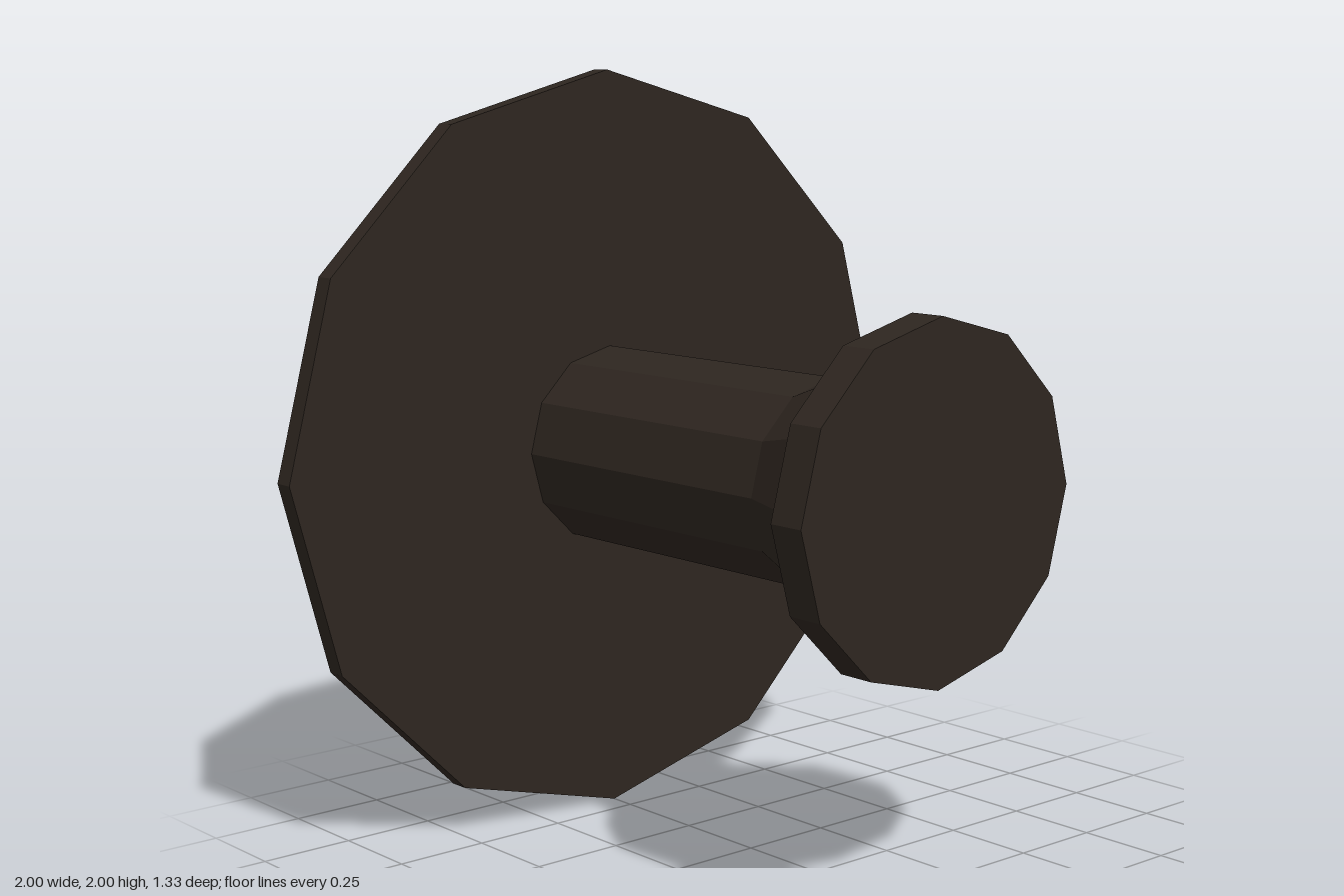
import * as THREE from 'three';

const SIDES = 12;

// Faceted turned part; profile is [radius, z] pairs, running from back to front
function turned(name, profile, color) {
  const points = profile.map(([r, z]) => new THREE.Vector2(r, z));
  const geometry = new THREE.LatheGeometry(points, SIDES);
  geometry.rotateX(Math.PI / 2);
  geometry.translate(0, 1, 0);
  const material = new THREE.MeshStandardMaterial({ color, flatShading: true });
  const mesh = new THREE.Mesh(geometry, material);
  mesh.name = name;
  return mesh;
}

export function createModel() {
  const model = new THREE.Group();
  model.name = 'stemmedDisc';

  const dark = 0x2e2620, rust = 0x7b4f3e;
  const back = -0.665, plateFront = -0.57, front = 0.665;
  const ringInner = 0.395, ringOuter = 0.725;

  model.add(
    // Wide plate with a bevelled back edge
    turned('plate', [[ringOuter, back], [0.9, back], [1, -0.625], [1, plateFront], [0, plateFront]], dark),
    // Coloured band and dark centre, flush with the plate's back
    turned('backRing', [[ringInner, back], [ringOuter, back]], rust),
    turned('backCentre', [[0, back], [ringInner, back]], dark),
    // Stem flaring into the knob
    turned('stem', [[0.267, plateFront], [0.267, 0.3], [0.325, 0.45], [0.445, 0.565]], dark),
    turned('knob', [[0.445, 0.565], [0.445, front], [0, front]], dark)
  );
  return model;
}
